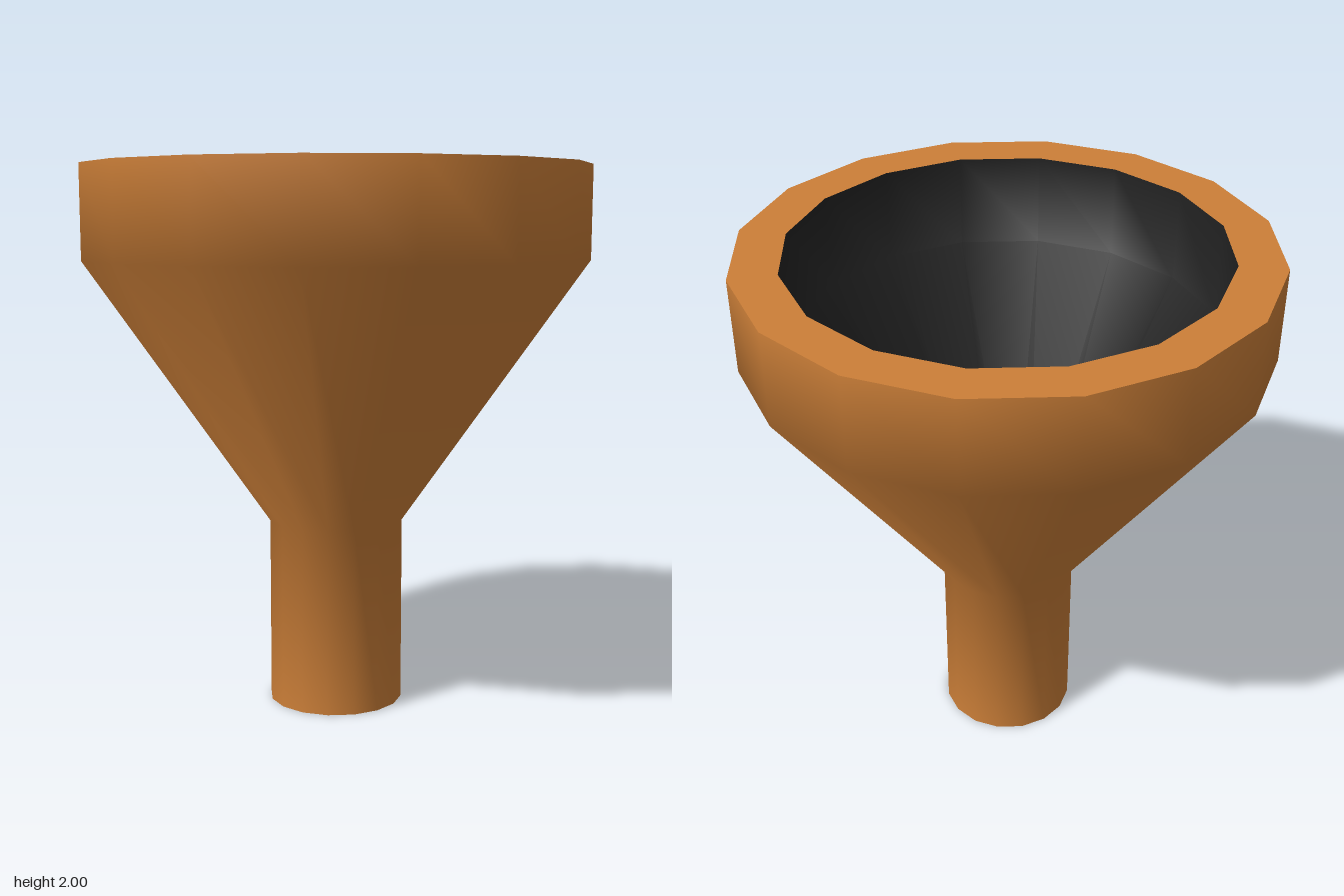
import * as THREE from 'three';

export function createModel() {
  const model = new THREE.Group();
  model.name = 'funnel';
  const copper = new THREE.MeshStandardMaterial({ color: 0xcc7f38 });
  copper.name = 'copper orange';
  const dark = new THREE.MeshStandardMaterial({ color: 0x222222 });
  dark.name = 'dark lining';

  // Revolve a [radius, height] profile in 16 sides; rising profiles face outward
  const turn = (name, profile, material) => {
    const points = profile.map(([r, y]) => new THREE.Vector2(r, y));
    const mesh = new THREE.Mesh(new THREE.LatheGeometry(points, 16), material);
    mesh.name = name;
    model.add(mesh);
  };

  const outer = [[0.25, 0], [0.25, 0.69], [0.925, 1.66], [0.925, 2]];
  const inner = [[0.76, 2], [0.76, 1.66], [0.155, 0.69], [0.155, 0]];

  turn('outerWall', outer, copper);
  turn('innerLining', inner, dark);
  // Flat rings closing the wall at both ends
  turn('topRim', [outer[3], inner[0]], copper);
  turn('spoutRim', [inner[3], outer[0]], copper);

  return model;
}
